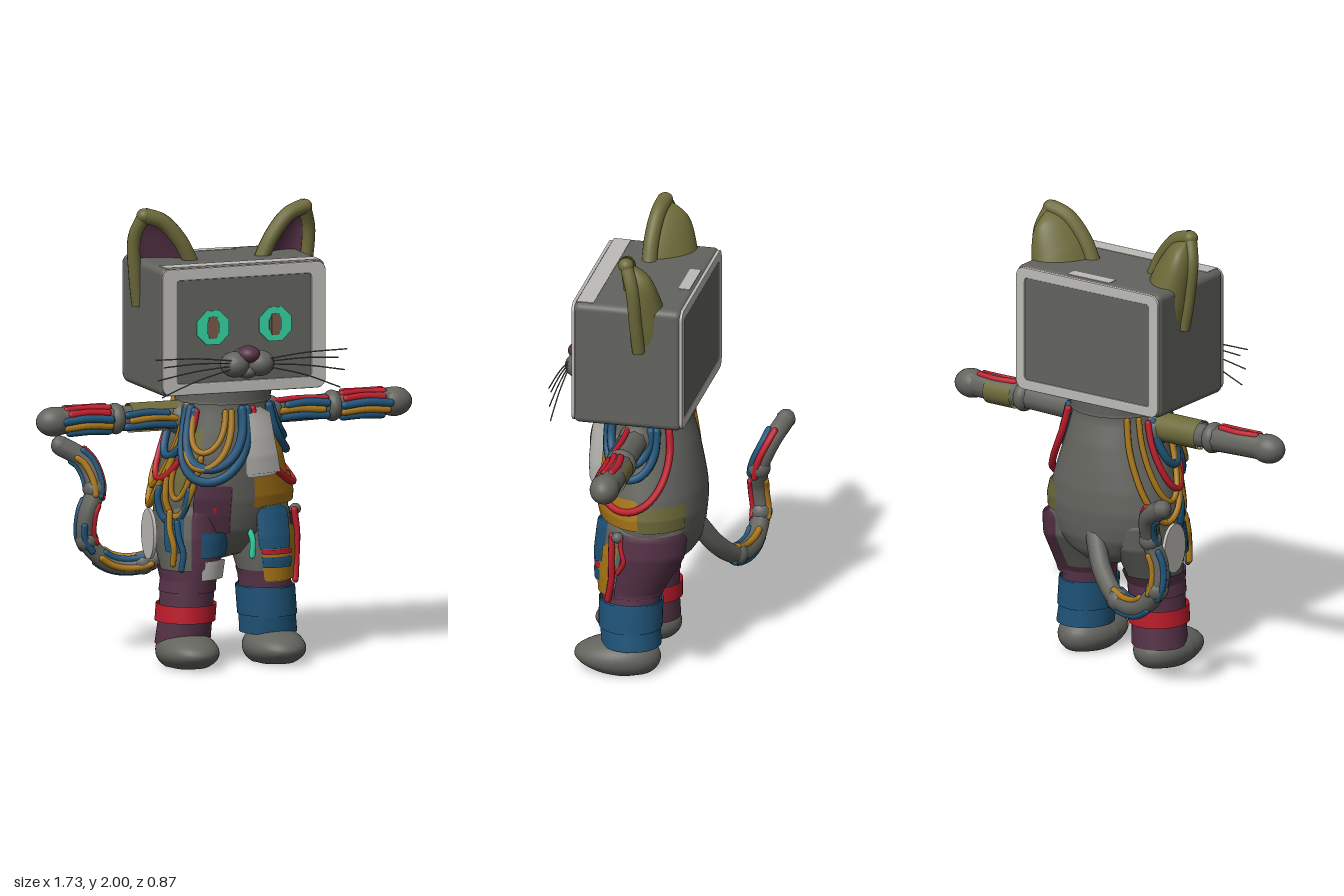
import * as THREE from 'three';
import { RoundedBoxGeometry } from 'three/addons/geometries/RoundedBoxGeometry.js';
import { ParametricGeometry } from 'three/addons/geometries/ParametricGeometry.js';

const colours = {
  grey: 0x63645e, lightGrey: 0xbebcb7, olive: 0x6d6a3a, purple: 0x553247, teal: 0x35d6a4,
  red: 0xbe1c2b, blue: 0x1f5479, ochre: 0xa87616, pupilBrown: 0x7a5a44,
};
const PI = Math.PI;

export function createModel() {
  const M = {};
  for (const [name, color] of Object.entries(colours)) {
    M[name] = new THREE.MeshStandardMaterial({ color, side: THREE.DoubleSide });
    M[name].name = name;
  }
  const model = new THREE.Group();
  model.name = 'robotCat';

  const add = (name, geo, mat, pos = [0, 0, 0], scale = [1, 1, 1]) => {
    const mesh = new THREE.Mesh(geo, M[mat]);
    mesh.name = name;
    mesh.position.set(...pos);
    mesh.scale.set(...scale);
    model.add(mesh);
    return mesh;
  };
  const ball = (name, mat, pos, size) => add(name, new THREE.SphereGeometry(1, 24, 16), mat, pos, size);
  const curveOf = (pts) => new THREE.CatmullRomCurve3(pts.map((p) => new THREE.Vector3(...p)));
  // Round-ended cable through points
  const cable = (name, mat, pts, r, seg = 28) => {
    add(name, new THREE.TubeGeometry(curveOf(pts), seg, r, 8), mat);
    for (const p of [pts[0], pts[pts.length - 1]]) add(name + 'End', new THREE.SphereGeometry(r, 8, 6), mat, p);
  };

  // Elliptical cross-sections: [y, centre x, centre z, radius x, radius z]
  const sample = (rings, y) => {
    let i = 0;
    while (i < rings.length - 2 && y > rings[i + 1][0]) i++;
    const a = rings[i], b = rings[i + 1];
    const t = THREE.MathUtils.clamp((y - a[0]) / (b[0] - a[0]), 0, 1);
    return a.map((v, k) => v + (b[k] - v) * t);
  };
  // Angle 0 is the front, PI / 2 the model's left
  const onBody = (rings, a, y, off = 0) => {
    const [, cx, cz, rx, rz] = sample(rings, y);
    return [cx + (rx + off) * Math.sin(a), y, cz + (rz + off) * Math.cos(a)];
  };
  const loft = (name, mat, rings, y0, y1, off = 0) => add(name, new ParametricGeometry((u, v, p) =>
    p.set(...onBody(rings, u * 2 * PI, y0 + (y1 - y0) * v, off)), 36, 24), mat);
  // Raised panel hugging a body, its border sunk into the surface
  const patch = (name, mat, rings, a0, a1, y0, y1, off = 0.014) => add(name, new ParametricGeometry((u, v, p) => {
    const edge = u < 0.001 || u > 0.999 || v < 0.001 || v > 0.999;
    p.set(...onBody(rings, a0 + (a1 - a0) * u, y0 + (y1 - y0) * v, edge ? -0.006 : off));
  }, 14, 14), mat);
  // Cable hanging in a U on a body, standing off by sag at the bottom
  const drape = (name, mat, rings, a0, da, y0, dy, r, sag) => {
    const pts = [];
    for (let i = 0; i <= 12; i++) {
      const t = (i / 12) * PI;
      pts.push(onBody(rings, a0 - da * Math.cos(t), y0 - dy * Math.sin(t), 0.018 + sag * Math.sin(t)));
    }
    cable(name, mat, pts, r, 36);
  };

  // Torso and neck
  const torso = [
    [0.45, 0, 0.03, 0.02, 0.02], [0.48, 0, 0.03, 0.12, 0.12], [0.53, 0, 0.03, 0.21, 0.17], [0.59, 0, 0.035, 0.27, 0.2],
    [0.66, 0, 0.04, 0.3, 0.215], [0.74, 0, 0.045, 0.305, 0.228], [0.82, 0, 0.05, 0.287, 0.23], [0.92, 0, 0.06, 0.257, 0.225],
    [1.02, 0, 0.065, 0.225, 0.212], [1.1, 0, 0.07, 0.205, 0.195], [1.16, 0, 0.07, 0.195, 0.19], [1.23, 0, 0.07, 0.2, 0.195],
  ];
  loft('torso', 'grey', torso, 0.45, 1.23);
  loft('neckCollar', 'grey', torso, 1.15, 1.21, 0.012);
  patch('chestPlate', 'lightGrey', torso, 0.1, 0.66, 0.83, 1.13, 0.045);
  patch('waistPanel', 'ochre', torso, 0.22, 1.55, 0.69, 0.83, 0.018);
  patch('chestPanel', 'ochre', torso, 0.66, 1.08, 0.8, 1.09, 0.014);
  patch('hipPanel', 'olive', torso, 1.5, 2.5, 0.68, 0.8, 0.01);
  patch('bellyPanel', 'purple', torso, -0.7, -0.1, 0.58, 0.8, 0.024);
  patch('sidePanel', 'olive', torso, -1.15, -0.7, 0.75, 1.05, 0.008);
  patch('bellyButton', 'red', torso, -0.38, -0.33, 0.68, 0.71, 0.03);

  // Cables hanging from shoulders and chest: colour, angle, half width, top, drop, radius, stand-off
  [
    ['red', 1.25, 0.97, 1.13, 0.35, 0.016, 0.005], ['blue', 1.38, 0.57, 1.13, 0.21, 0.019, 0.005],
    ['blue', 1.38, 0.45, 1.13, 0.15, 0.019, 0.01], ['blue', -0.5, 0.65, 1.13, 0.31, 0.02, 0.015],
    ['blue', -0.5, 0.54, 1.13, 0.25, 0.02, 0.035], ['ochre', -0.6, 0.42, 1.12, 0.24, 0.015, 0.04],
    ['ochre', -0.62, 0.32, 1.12, 0.17, 0.014, 0.03], ['red', -1.4, 0.5, 1.12, 0.3, 0.014, 0.005],
    ['blue', -1.35, 0.4, 1.12, 0.2, 0.018, 0.005], ['ochre', -1.75, 0.6, 1.14, 0.45, 0.014, 0],
    ['ochre', -1.65, 0.45, 1.14, 0.36, 0.013, 0], ['ochre', -0.95, 0.28, 0.92, 0.26, 0.015, 0],
    ['ochre', -0.95, 0.17, 0.88, 0.14, 0.013, 0], ['blue', -1.05, 0.3, 0.78, 0.15, 0.016, 0],
  ].forEach(([mat, a, da, y, dy, r, sag]) => drape('hangingCable', mat, torso, a, da, y, dy, r, sag));

  // Legs and boots
  const legRings = (s) => [
    [0.08, 0.2, 0.1, 0.115, 0.115], [0.2, 0.19, 0.11, 0.11, 0.12], [0.33, 0.18, 0.11, 0.11, 0.122],
    [0.38, 0.175, 0.11, 0.108, 0.125], [0.46, 0.172, 0.09, 0.122, 0.15], [0.56, 0.168, 0.06, 0.138, 0.178],
    [0.66, 0.162, 0.048, 0.138, 0.18], [0.76, 0.14, 0.055, 0.11, 0.16],
  ].map(([y, x, ...rest]) => [y, s * x, ...rest]);
  const left = legRings(1), right = legRings(-1);
  for (const [side, rings, s] of [['left', left, 1], ['right', right, -1]]) {
    loft(side + 'Thigh', 'grey', rings, 0.36, 0.76);
    const boot = new THREE.SphereGeometry(1, 32, 20);
    const p = boot.attributes.position;
    for (let i = 0; i < p.count; i++) {
      const x = p.getX(i), y = p.getY(i), z = p.getZ(i);
      const top = 0.088 - 0.02 * z;
      p.setXYZ(i, 0.13 * x, Math.max(0.005, 0.07 + top * y), 0.19 * z);
    }
    boot.computeVertexNormals();
    add(side + 'Boot', boot, 'grey', [s * 0.2, 0, 0.165]);
  }
  loft('leftShin', 'blue', left, 0.13, 0.34, 0.012);
  loft('leftShinFold', 'blue', left, 0.21, 0.335, 0.018);
  loft('leftKnee', 'purple', left, 0.33, 0.41, 0.004);
  patch('leftThighPad', 'purple', left, 1.12, 2.95, 0.35, 0.67, 0.028);
  patch('leftThighBlock', 'blue', left, -0.5, 0.5, 0.5, 0.7, 0.035);
  patch('leftKneeBlock', 'ochre', left, -0.45, 1.05, 0.36, 0.52, 0.02);
  patch('leftSideBlock', 'ochre', left, 0.55, 1.05, 0.5, 0.6, 0.016);
  patch('leftKneeStripe', 'blue', left, -0.45, 0.6, 0.425, 0.475, 0.032);
  patch('leftKneeStripe', 'red', left, -0.45, 0.6, 0.485, 0.508, 0.032);
  const legCable = (name, mat, rings, a, y0, y1, r) =>
    cable(name, mat, [0, 0.33, 0.67, 1].map((t) => onBody(rings, a + 0.08 * Math.sin(t * 5), y0 + (y1 - y0) * t, 0.024)), r);
  legCable('leftThighCable', 'red', left, 1.02, 0.36, 0.66, 0.015);
  legCable('leftThighCable', 'red', left, 1.25, 0.5, 0.66, 0.012);
  legCable('leftThighCable', 'teal', left, -0.68, 0.48, 0.68, 0.014);
  ball('leftCableKnob', 'grey', onBody(left, 1.1, 0.66, 0.025), [0.025, 0.025, 0.025]);

  loft('rightShin', 'purple', right, 0.1, 0.4, 0.006);
  loft('rightKnee', 'purple', right, 0.33, 0.43, 0.012);
  loft('rightShinBand', 'red', right, 0.2, 0.275, 0.02);
  patch('rightThighPad', 'purple', right, -0.3, 0.85, 0.42, 0.7, 0.03);
  patch('rightThighBlock', 'blue', right, -0.1, 0.95, 0.48, 0.6, 0.044);
  patch('rightKneeBlock', 'lightGrey', right, 0.05, 0.95, 0.385, 0.475, 0.042);
  patch('rightHipBlock', 'blue', right, -1.1, -0.5, 0.5, 0.66, 0.02);
  legCable('rightThighCable', 'ochre', right, -0.85, 0.46, 0.68, 0.014);
  legCable('rightThighCable', 'blue', right, -0.6, 0.44, 0.64, 0.014);
  const disc = add('hipDisc', new THREE.CylinderGeometry(0.085, 0.085, 0.015, 24), 'lightGrey', [-0.325, 0.57, 0.03], [1.3, 1, 0.9]);
  disc.rotation.z = PI / 2;

  // Arms with cables running along them
  for (const s of [1, -1]) {
    const side = s > 0 ? 'left' : 'right';
    cable(side + 'UpperArm', 'grey', [[s * 0.14, 1.085, 0.08], [s * 0.32, 1.085, 0.08], [s * 0.5, 1.09, 0.08]], 0.055);
    cable(side + 'Forearm', 'grey', [[s * 0.5, 1.09, 0.08], [s * 0.66, 1.095, 0.08], [s * 0.8, 1.095, 0.085]], 0.06);
    ball(side + 'Hand', 'grey', [s * 0.785, 1.093, 0.085], [0.08, 0.064, 0.064]);
    ball(side + 'Elbow', 'grey', [s * 0.5, 1.09, 0.08], [0.045, 0.068, 0.068]);
    ball(side + 'Shoulder', 'grey', [s * 0.2, 1.08, 0.08], [0.07, 0.075, 0.08]);
    // Angle 0 faces front, PI / 2 up: colour, start, end, angle, radius
    const armCables = [
      ['red', 0.55, 0.73, 1.75, 0.016], ['red', 0.54, 0.73, 1.2, 0.016], ['red', 0.55, 0.72, 0.65, 0.016],
      ['blue', 0.54, 0.75, 0.1, 0.018], ['ochre', 0.54, 0.74, -0.45, 0.016], ['blue', 0.54, 0.72, -1.0, 0.018],
      ['ochre', 0.22, 0.44, -0.1, 0.015], ['blue', 0.24, 0.46, -0.65, 0.018],
      ...(s > 0 ? [['blue', 0.28, 0.46, 0.4, 0.018], ['red', 0.22, 0.46, 0.85, 0.013]] : [['blue', 0.28, 0.46, 0.35, 0.016]]),
    ];
    for (const [mat, x0, x1, a, r] of armCables) {
      cable(side + 'ArmCable', mat, [0, 0.5, 1].map((t) => {
        const b = a + 0.15 * Math.sin(t * PI);
        return [s * (x0 + (x1 - x0) * t), 1.09 + 0.055 * Math.sin(b), 0.08 + 0.055 * Math.cos(b)];
      }), r);
    }
    const [x0, x1, start] = s > 0 ? [0.54, 0.68, 0.75] : [0.2, 0.44, 0.2];
    const sleeve = add(side + 'ArmPatch', new THREE.CylinderGeometry(0.064, 0.064, x1 - x0, 24, 1, true, PI * start, PI * (1.55 - start)),
      'olive', [s * (x0 + x1) / 2, 1.09, 0.08]);
    sleeve.rotation.z = PI / 2;
  }

  // Tail with joints, and cables laid on its sides: colour, direction, start, end
  const tailPts = [[-0.02, 0.63, -0.13], [-0.11, 0.49, -0.2], [-0.24, 0.395, -0.26], [-0.38, 0.4, -0.3], [-0.48, 0.5, -0.31],
    [-0.485, 0.61, -0.3], [-0.445, 0.72, -0.31], [-0.475, 0.84, -0.36], [-0.57, 0.905, -0.4]];
  cable('tail', 'grey', tailPts, 0.043, 70);
  for (const i of [2, 4, 6]) ball('tailJoint', 'grey', tailPts[i], [0.05, 0.05, 0.05]);
  const tail = curveOf(tailPts);
  [
    ['blue', [0, 0.8, 0.7], 17, 29], ['ochre', [0, -0.2, 1], 17, 29], ['ochre', [0, 1, -0.4], 17, 29], ['blue', [0, -0.8, -0.4], 17, 29],
    ['red', [0.8, 0, 0.9], 33, 43], ['blue', [-0.5, 0, 1], 32, 38], ['blue', [-0.9, 0, -0.5], 33, 43], ['ochre', [0.4, 0, -1], 33, 43],
    ['ochre', [-0.3, -0.3, 1], 45, 56], ['blue', [0.6, 0.3, 0.8], 45, 56], ['red', [1, 0.8, 0], 45, 56], ['blue', [-1, -0.6, -0.2], 46, 56],
  ].forEach(([mat, dir, i0, i1]) => {
    const pts = [];
    for (let i = i0; i <= i1; i += 2) {
      const side = new THREE.Vector3(...dir).projectOnPlane(tail.getTangentAt(i / 60)).normalize();
      pts.push(tail.getPointAt(i / 60).addScaledVector(side, 0.038).toArray());
    }
    cable('tailCable', mat, pts, 0.015, 16);
  });

  // Box head with front and back frames
  add('head', new RoundedBoxGeometry(0.76, 0.56, 0.482, 4, 0.03), 'grey', [0, 1.49, 0.083]);
  const roundRect = (P, w, h, r) => {
    const p = new P();
    [[1, -1, -PI / 2], [1, 1, 0], [-1, 1, PI / 2], [-1, -1, PI]].forEach(([x, y, a]) =>
      p.absarc(x * (w / 2 - r), y * (h / 2 - r), r, a, a + PI / 2, false));
    return p;
  };
  const frame = (name, w, h, z) => {
    const shape = roundRect(THREE.Shape, 0.742, 0.542, 0.035);
    shape.holes.push(roundRect(THREE.Path, w, h, 0.02));
    add(name, new THREE.ExtrudeGeometry(shape, { depth: 0.008, bevelEnabled: true, bevelSize: 0.005, bevelThickness: 0.004, bevelSegments: 2 }),
      'lightGrey', [0, 1.49, z]);
  };
  frame('screenFrame', 0.63, 0.46, 0.318);
  frame('backFrame', 0.67, 0.47, -0.158);
  add('topFrontStrip', new THREE.BoxGeometry(0.71, 0.006, 0.075), 'lightGrey', [0, 1.769, 0.273]);
  add('topBackStrip', new THREE.BoxGeometry(0.22, 0.006, 0.05), 'lightGrey', [0.01, 1.769, -0.11]);

  // Eyes as thin plates, snout and whiskers
  const plate = (name, mat, x, y, z, rx, ry, n) => {
    const m = add(name, new THREE.CylinderGeometry(1, 1, 0.006, n, 1, false, PI / n), mat, [x, y, z], [rx, 1, ry]);
    m.rotation.x = PI / 2;
  };
  for (const s of [1, -1]) {
    plate('eye', 'teal', s * 0.144, 1.503, 0.327, 0.08, 0.08, 8);
    plate('iris', 'grey', s * 0.144, 1.503, 0.329, 0.032, 0.052, 8);
    add('pupil', new THREE.BoxGeometry(0.038, 0.09, 0.006), 'pupilBrown', [s * 0.144, 1.503, 0.331]);
    ball('muzzle', 'grey', [s * 0.058, 1.343, 0.365], [0.063, 0.056, 0.065]);
    [[1.365, 1.39, 0.44], [1.355, 1.355, 0.4], [1.345, 1.3, 0.43], [1.335, 1.225, 0.41]].forEach(([y0, y1, x]) =>
      cable('whisker', 'grey', [[s * 0.07, y0, 0.41], [s * 0.25, (y0 + y1) / 2 + 0.008, 0.413], [s * x, y1, 0.413]], 0.003, 8));
  }
  ball('noseBridge', 'grey', [0, 1.375, 0.35], [0.06, 0.04, 0.045]);
  ball('chin', 'grey', [0, 1.31, 0.355], [0.045, 0.032, 0.05]);
  ball('nose', 'purple', [0, 1.386, 0.377], [0.05, 0.038, 0.054]);

  // Ears: cupped shells between an inner and an outer edge, open to the front
  for (const s of [1, -1]) {
    const inner = curveOf([[s * 0.155, 1.74, 0.11], [s * 0.21, 1.85, 0.11], [s * 0.29, 1.94, 0.1], [s * 0.37, 1.97, 0.088]]);
    const outer = curveOf([[s * 0.375, 1.57, 0.03], [s * 0.393, 1.7, 0.04], [s * 0.402, 1.87, 0.055], [s * 0.37, 1.97, 0.088]]);
    const shell = (depth) => new ParametricGeometry((u, v, p) => {
      p.copy(inner.getPoint(v)).lerp(outer.getPoint(v), u);
      const bulge = depth * Math.pow(Math.max(0, Math.sin(u * PI)), 0.6) * Math.pow(Math.max(0, 1 - v), 0.75) * (0.7 + 0.4 * v);
      p.z -= bulge;
      p.x += s * 0.25 * bulge * u;
    }, 24, 24);
    add('earShell', shell(0.22), 'olive');
    add('earInner', shell(0.12), 'purple');
    add('earInnerRim', new THREE.TubeGeometry(inner, 24, 0.034, 12), 'olive');
    add('earOuterRim', new THREE.TubeGeometry(outer, 24, 0.029, 12), 'olive');
    ball('earTip', 'olive', [s * 0.37, 1.968, 0.088], [0.034, 0.032, 0.034]);
  }

  return model;
}
